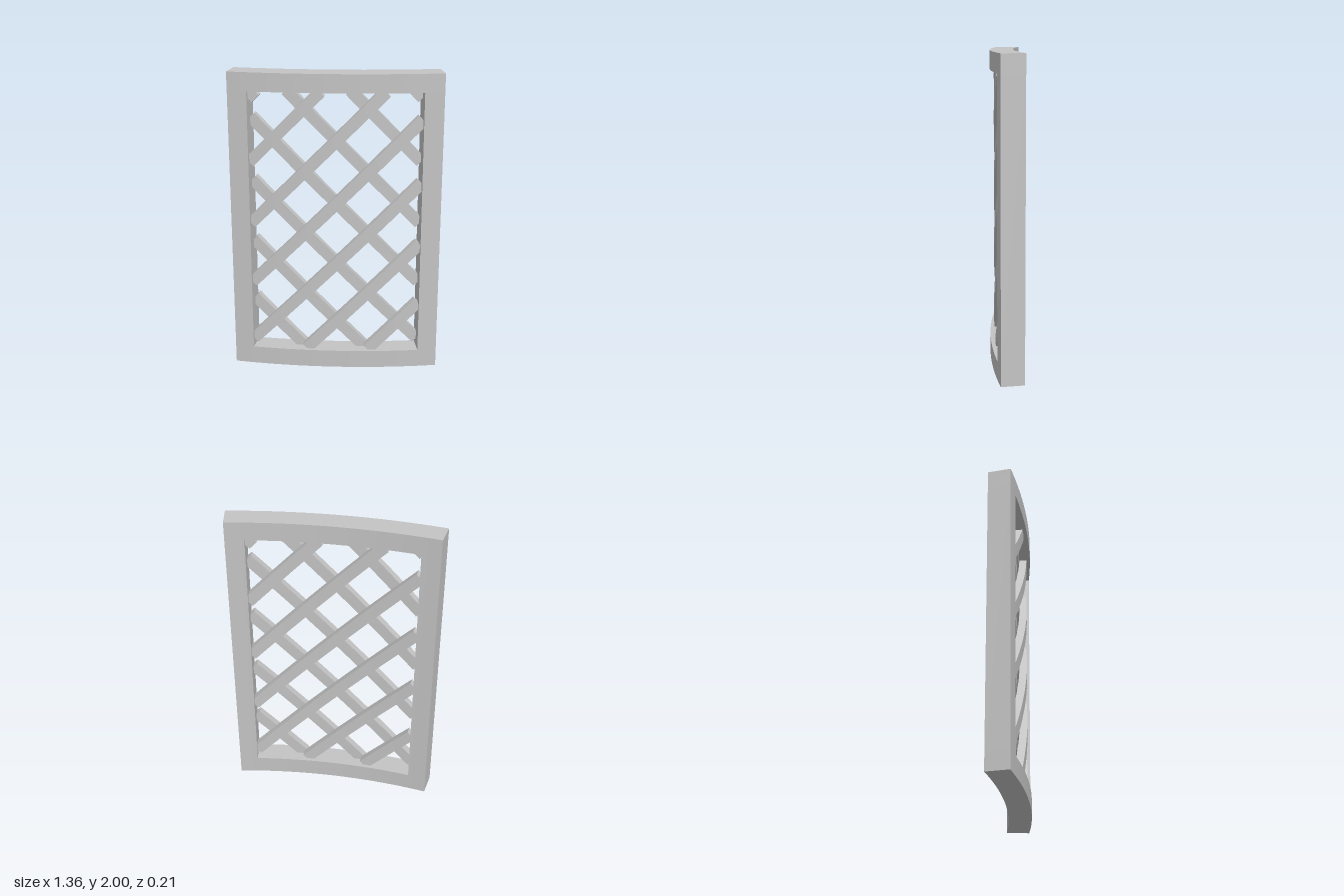
import * as THREE from 'three';

const R = 4;                  // radius of the curved front face
const DEPTH = 0.15;           // frame thickness
const FRONT = 0.103;          // z of the front face at the middle
const HALF = 0.683;           // half width, measured along the arc
const OPEN = 0.557;           // half width of the opening along the arc
const BOTTOM = 0.12, TOP = 1.88;
const BAR = 0.075, LAYER = 0.05;

// Bends a flat geometry (x along the arc, z = depth behind/before the front face) round the y axis.
function bend(geometry) {
  const p = geometry.attributes.position;
  for (let i = 0; i < p.count; i++) {
    const a = p.getX(i) / R, r = R + p.getZ(i);
    p.setXYZ(i, r * Math.sin(a), p.getY(i), r * Math.cos(a) - R + FRONT);
  }
  geometry.computeVertexNormals();
  return geometry;
}

export function createModel() {
  const model = new THREE.Group();
  model.name = 'curvedLatticePanel';
  const grey = new THREE.MeshStandardMaterial({ color: 0xc4c4c4 });
  grey.name = 'lightGrey';

  const add = (parent, name, geometry) => {
    const mesh = new THREE.Mesh(bend(geometry), grey);
    mesh.name = name;
    parent.add(mesh);
  };

  // Frame: two curved rails and two upright stiles
  const frame = new THREE.Group();
  frame.name = 'frame';
  model.add(frame);
  const plank = (name, x0, x1, y0, y1, segments) => {
    const g = new THREE.BoxGeometry(x1 - x0, y1 - y0, DEPTH, segments, 1, 1);
    g.translate((x0 + x1) / 2, (y0 + y1) / 2, -DEPTH / 2);
    add(frame, name, g);
  };
  plank('bottomRail', -HALF, HALF, 0, BOTTOM, 32);
  plank('topRail', -HALF, HALF, TOP, 2, 32);
  plank('rightStile', -HALF, -OPEN, BOTTOM, TOP, 3);
  plank('leftStile', OPEN, HALF, BOTTOM, TOP, 3);

  // Lattice: diagonal bars in two layers, the back layer mirrored
  for (const side of [1, -1]) {
    const layer = new THREE.Group();
    layer.name = side > 0 ? 'frontLattice' : 'backLattice';
    model.add(layer);
    const z = side > 0 ? -0.05 : -0.1;
    for (let k = 0; k < 7; k++) {
      const c = -0.1 + 0.415 * k;            // height where the bar crosses the middle
      const x0 = Math.max(-OPEN, BOTTOM - c);
      const x1 = Math.min(OPEN, TOP - c);
      const mid = (x0 + x1) / 2;
      const g = new THREE.BoxGeometry((x1 - x0) * Math.SQRT2, BAR, LAYER, 20, 1, 1);
      g.rotateZ(side * Math.PI / 4);
      g.translate(side * mid, mid + c, z);
      add(layer, 'latticeBar', g);
    }
  }
  return model;
}
